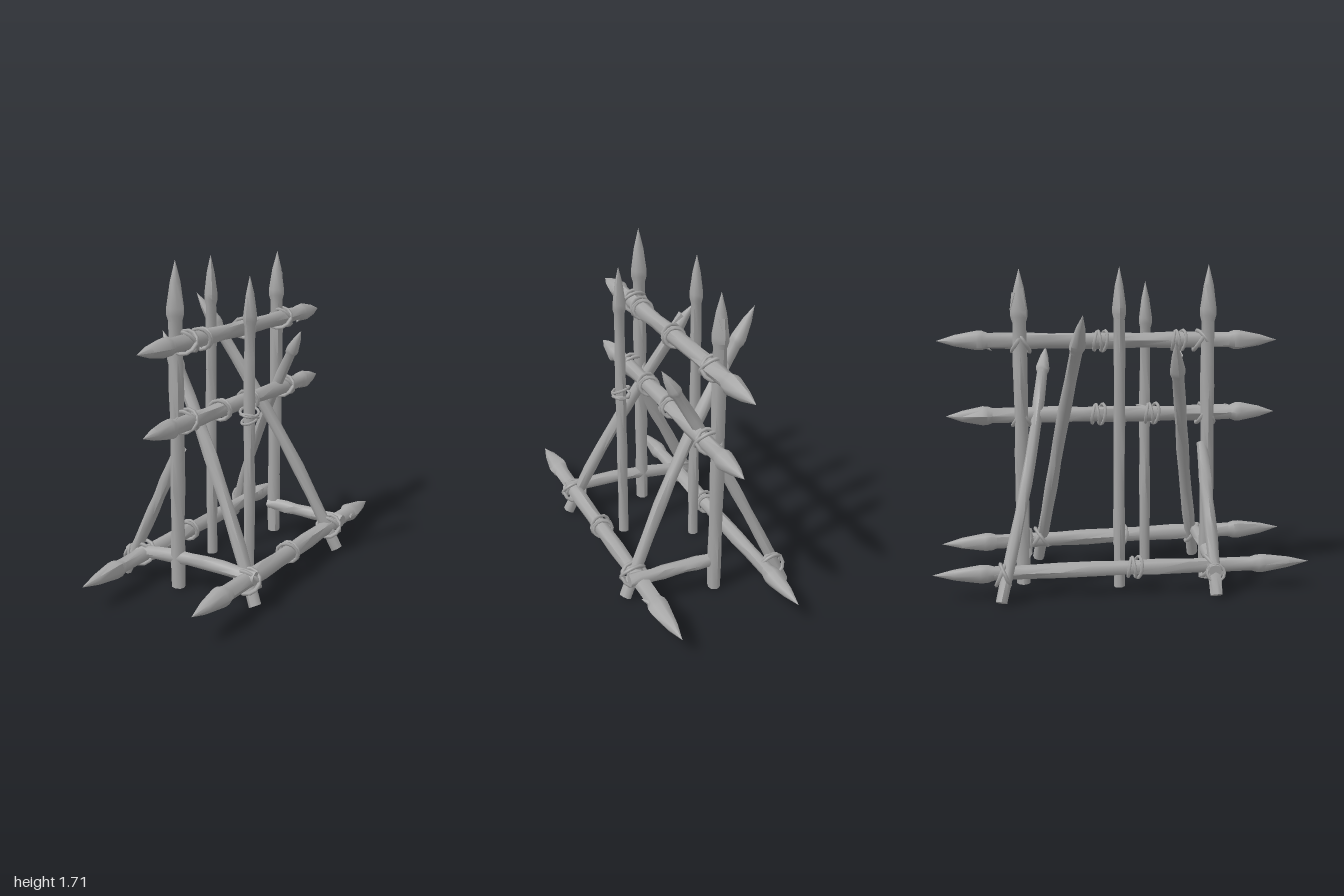
import * as THREE from 'three';
import { toCreasedNormals } from 'three/addons/utils/BufferGeometryUtils.js';

const V = (a) => new THREE.Vector3(...a);
const UP = new THREE.Vector3(0, 1, 0);

export function createModel() {
  const model = new THREE.Group();
  const wood = new THREE.MeshStandardMaterial({ color: 0xa6a6a6 });
  wood.name = 'weatheredWood';

  const add = (name, geo) => {
    const mesh = new THREE.Mesh(geo, wood);
    mesh.name = name;
    model.add(mesh);
    return mesh;
  };

  // Rough pole from a to b; 'tips' says which ends carry a carved point
  let seed = 0;
  function pole(name, a, b, r, { tips = 'none', head = 0.25, bow = [0, 0, 0] } = {}) {
    const start = V(a), dir = V(b).sub(start), len = dir.length();
    const point = [[0, 0], [0.4, 0.72], [0.88, 1.22], [1, 1.2], [1.12, 0.95]];
    const bottom = tips === 'both' ? point.map(([t, k]) => [k * r, t * head]) : [[0, 0], [r * 0.97, 0]];
    const top = tips === 'none' ? [[r * 0.97, len], [0, len]]
      : point.map(([t, k]) => [k * r, len - t * head]).reverse();
    const y0 = bottom.at(-1)[1], y1 = top[0][1];
    const shaft = [];
    for (let i = 1; i < 8; i++) {
      shaft.push([r * (1 + 0.07 * Math.sin(i * 2.3 + seed)), y0 + (y1 - y0) * i / 8]);
    }
    const profile = [...bottom, ...shaft, ...top].map(([x, y]) => new THREE.Vector2(x, y));
    const geo = new THREE.LatheGeometry(profile, 8);
    const turn = new THREE.Quaternion().setFromUnitVectors(UP, dir.clone().normalize());
    const pos = geo.attributes.position, p = new THREE.Vector3(), bend = V(bow);
    for (let i = 0; i < pos.count; i++) {
      p.fromBufferAttribute(pos, i);
      const t = p.y / len, angle = Math.atan2(p.z, p.x);
      const rough = 1 + 0.06 * Math.sin(angle * 3 + t * 9 + seed);
      p.x *= rough;
      p.z *= rough;
      p.applyQuaternion(turn).add(start).addScaledVector(bend, Math.sin(Math.PI * t));
      pos.setXYZ(i, p.x, p.y, p.z);
    }
    seed += 1.7;
    return add(name, toCreasedNormals(geo, 1.0));
  }

  // Upright stakes
  pole('frontStake', [-0.065, 0.01, 0.465], [-0.06, 1.715, 0.465], 0.037, { tips: 'top', head: 0.27 });
  pole('leftStake', [0.18, 0.01, 0.16], [0.18, 1.625, 0.16], 0.03, { tips: 'top', head: 0.23 });
  pole('rightStake', [-0.18, 0.01, -0.025], [-0.178, 1.7, -0.025], 0.03, { tips: 'top', head: 0.24 });
  pole('backStake', [-0.065, 0.01, -0.53], [-0.06, 1.69, -0.535], 0.037, { tips: 'top', head: 0.25 });

  // Long rails, pointed at both ends
  pole('lowerLeftRail', [0.335, 0.13, -0.99], [0.385, 0.165, 1], 0.043, { tips: 'both', head: 0.28 });
  pole('lowerRightRail', [-0.305, 0.14, -1], [-0.28, 0.145, 0.98], 0.04, { tips: 'both', head: 0.28 });
  pole('middleRail', [0.0, 0.915, -0.93], [0.02, 0.915, 0.855], 0.042, { tips: 'both', head: 0.22 });
  pole('upperRail', [-0.02, 1.315, -0.97], [-0.005, 1.31, 0.855], 0.042, { tips: 'both', head: 0.24 });

  // Leaning braces
  pole('backLeftBrace', [0.41, 0.02, -0.435], [-0.41, 1.46, -0.23], 0.034, { tips: 'top', head: 0.2, bow: [0.045, 0, 0] });
  pole('frontLeftBrace', [0.41, 0.02, 0.48], [-0.3, 1.32, 0.25], 0.034, { tips: 'top', head: 0.2, bow: [0.04, 0, 0] });
  pole('backRightBrace', [-0.42, 0.02, -0.65], [0.18, 1.27, -0.39], 0.03, { tips: 'top', head: 0.14, bow: [-0.03, 0, 0.02] });
  pole('frontRightBrace', [-0.42, 0.02, 0.455], [-0.06, 0.76, 0.44], 0.033);

  // Low cross members
  pole('frontCrossbar', [-0.4, 0.14, 0.45], [0.42, 0.17, 0.485], 0.036, { bow: [0, 0.025, 0] });
  pole('backCrossbar', [-0.09, 0.18, -0.52], [0.41, 0.165, -0.5], 0.036);

  // Splinters flaring off the carved points
  function splinter(at, to, r = 0.025) {
    const dir = V(to).sub(V(at));
    const geo = new THREE.ConeGeometry(r, dir.length(), 5).translate(0, dir.length() / 2, 0);
    const mesh = add('splinter', toCreasedNormals(geo, 0.6));
    mesh.position.copy(V(at));
    mesh.quaternion.setFromUnitVectors(UP, dir.normalize());
  }
  splinter([-0.06, 1.56, -0.55], [-0.06, 1.47, -0.585]);
  splinter([-0.24, 1.25, 0.27], [-0.14, 1.15, 0.29], 0.03);
  splinter([0.345, 0.14, -0.74], [0.4, 0.14, -0.63], 0.03);
  splinter([-0.01, 1.31, -0.74], [-0.01, 1.26, -0.68]);
  splinter([0.02, 0.915, 0.65], [0.02, 0.965, 0.57]);

  // Rope lashing: uneven loops around an axis, tilted alternately
  const loop = new THREE.TorusGeometry(1, 0.17, 5, 12);
  function lashing(at, axis, r, tilt, count = 2) {
    const group = new THREE.Group();
    group.name = 'lashing';
    for (let i = 0; i < count; i++) {
      const ring = new THREE.Mesh(loop, wood);
      ring.name = 'ropeLoop';
      const k = i - (count - 1) / 2;
      ring.scale.set(r * (1 + 0.05 * i), r * (1 + 0.04 * k), r);
      ring.rotation.set(tilt * (i % 2 ? -1 : 1), 0.2 * k, 0);
      ring.position.z = k * 0.022;
      group.add(ring);
    }
    group.position.copy(V(at));
    group.quaternion.setFromUnitVectors(new THREE.Vector3(0, 0, 1), V(axis).normalize());
    model.add(group);
  }
  const Z = [0, 0, 1], Y = [0, 1, 0];

  // Crossed bindings where rails meet stakes and braces
  const joints = [
    [-0.02, 1.31, 0.44], [-0.03, 1.31, -0.53],
    [-0.01, 0.915, 0.46], [-0.01, 0.915, -0.53],
    [0.37, 0.15, 0.48], [0.36, 0.15, -0.43],
    [-0.31, 0.145, 0.44],
  ];
  for (const at of joints) lashing(at, Z, 0.064, 0.6);
  lashing([-0.35, 0.145, -0.64], Z, 0.06, 0.4);
  lashing([-0.38, 0.13, 0.455], [1, 0, 0], 0.045, 0.3);

  // Plain wraps along the rails and the left stake
  for (const at of [[0.36, 0.15, 0.04], [-0.29, 0.145, 0.04], [-0.01, 1.31, 0.31],
    [-0.01, 1.31, -0.11], [0.01, 0.915, -0.12], [0.015, 0.915, 0.17]]) {
    lashing(at, Z, 0.053, 0.15, 3);
  }
  lashing([0.18, 0.9, 0.16], Y, 0.045, 0.35, 3);

  return model;
}
